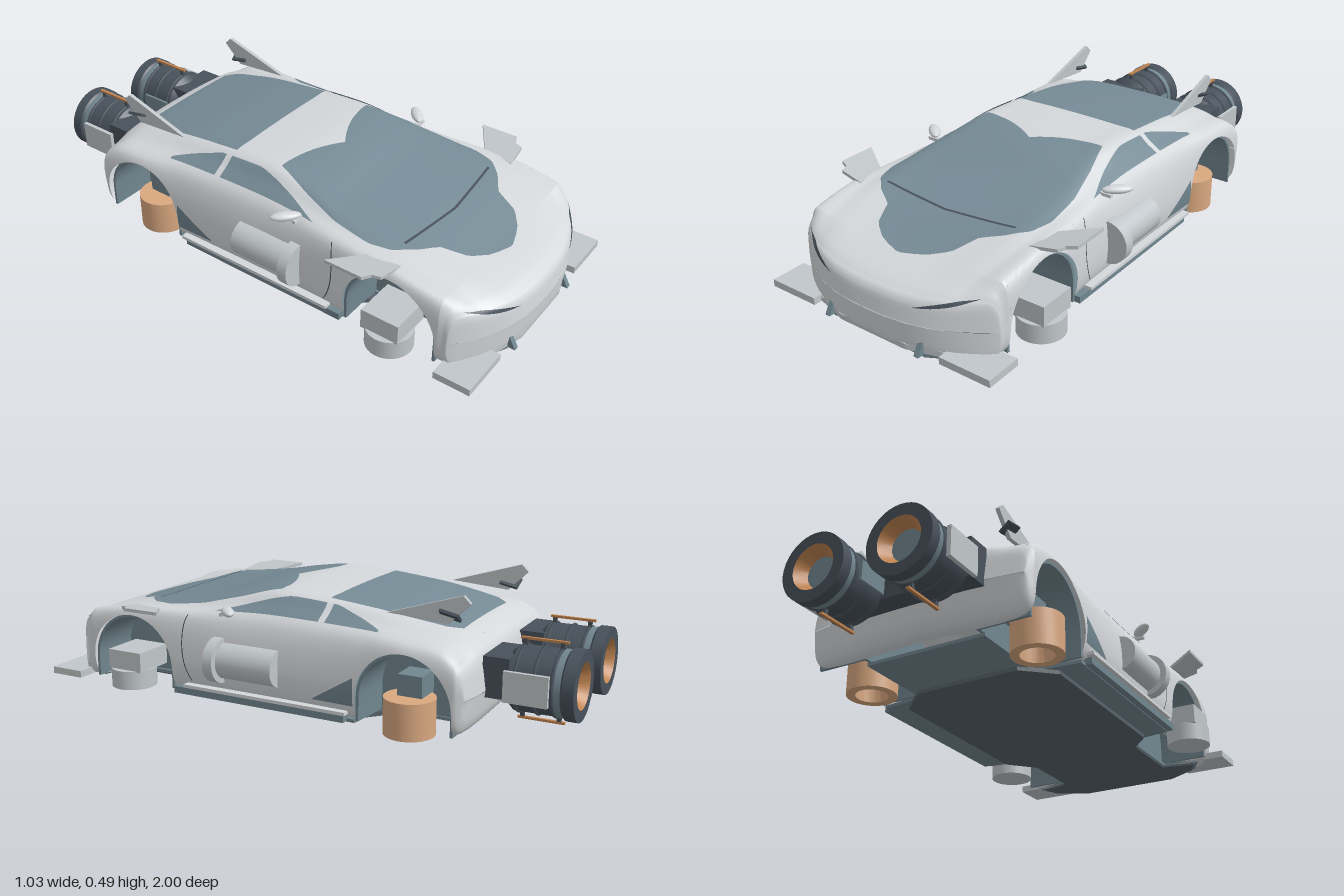
import * as THREE from 'three';
import { toCreasedNormals } from 'three/addons/utils/BufferGeometryUtils.js';

const mat = (name, color, side = THREE.FrontSide) => {
  const m = new THREE.MeshStandardMaterial({ color, side });
  m.name = name;
  return m;
};

// Body stations: z, yBottom, wFlank, wBelt, yBelt, wRoof, yRoof, yTop
const STATIONS = [
  [-0.72, .17, .41, .41, .171, .28, .172, .173],
  [-0.70, .09, .42, .41, .24, .28, .27, .28],
  [-0.665, .05, .43, .42, .27, .28, .31, .325],
  [-0.60, .05, .435, .415, .31, .26, .345, .355],
  [-0.475, .04, .435, .415, .32, .27, .37, .378],
  [-0.30, .04, .425, .395, .325, .275, .395, .405],
  [0.05, .04, .418, .385, .325, .275, .42, .428],
  [0.20, .04, .418, .387, .325, .285, .40, .415],
  [0.35, .04, .42, .395, .325, .31, .37, .38],
  [0.63, .04, .43, .412, .322, .30, .331, .325],
  [0.80, .04, .425, .41, .298, .27, .295, .285],
  [0.90, .035, .42, .40, .27, .25, .268, .262],
  [0.96, .04, .42, .40, .245, .25, .245, .24],
  [0.99, .06, .42, .40, .215, .25, .215, .212],
  [1.00, .145, .41, .40, .146, .25, .147, .148],
];
const ARCHES = [{ z: -0.475, r: 0.175, y: 0.125 }, { z: 0.63, r: 0.18, y: 0.12 }];
const lerp = THREE.MathUtils.lerp;

// Smooth interpolation between stations
function station(z) {
  const S = STATIONS, n = S.length;
  let i = 0;
  while (i < n - 2 && z > S[i + 1][0]) i++;
  const a = S[i], b = S[i + 1], p = S[Math.max(i - 1, 0)], q = S[Math.min(i + 2, n - 1)];
  const h = b[0] - a[0], s = THREE.MathUtils.clamp((z - a[0]) / h, 0, 1);
  return a.map((v, k) => {
    const m0 = (b[k] - p[k]) / (b[0] - p[0]) * h, m1 = (q[k] - v) / (q[0] - a[0]) * h;
    return v + s * m0 + s * s * (3 * (b[k] - v) - 2 * m0 - m1) + s * s * s * (2 * (v - b[k]) + m0 + m1);
  });
}

// Half section: t = 0 floor centre, 2 sill, 3 flank, 4 belt, 6 roof edge, 8 roof centre
const cache = new Map();
function section(z) {
  if (!cache.has(z)) {
    const [, yb, wm, wl, yl, wr, yr, yt] = station(z), wb = wm - .013, h = yl - yb, ym = lerp(yr, yt, .7);
    const pts = [[0, yb], [wb - .03, yb], [wb, yb + h * .1], [wm, yb + h * .48], [wl, yl],
      [lerp(wl, wr, .6), lerp(yl, yr, .62)], [wr, yr], [wr * .65, ym], [0, yt], [-wr * .65, ym]];
    cache.set(z, new THREE.CatmullRomCurve3(pts.map(([x, y]) => new THREE.Vector3(x, y, 0)), false, 'centripetal'));
  }
  return cache.get(z);
}
const flat = (t, z) => section(z).getPoint(t / 9);

// Point on the body, with the nose and tail bowed in plan
function bodyPoint(t, z) {
  const p = flat(t, z), f = 0.85 * Math.min(1, Math.abs(p.x) / 0.43) ** 2.5;
  p.z = z > .82 ? .82 + (z - .82) * (1 - f) : z < -.655 ? -.655 + (z + .655) * (1 - .6 * f) : z;
  return p;
}
function bodyNormal(t, z) {
  const e = 0.002, z0 = Math.max(z - e, -0.72), z1 = Math.min(z + e, 1);
  const dt = bodyPoint(t + .02, z).sub(bodyPoint(Math.max(t - .02, 0), z));
  return dt.cross(bodyPoint(t, z1).sub(bodyPoint(t, z0))).normalize();
}
function bisect(lo, hi, below) {
  for (let i = 0; i < 22; i++) {
    const m = (lo + hi) / 2;
    if (below(m)) lo = m; else hi = m;
  }
  return (lo + hi) / 2;
}
const tAtX = (x, z) => bisect(4, 8, t => flat(t, z).x > x);
const tAtY = (y, z) => bisect(1, 4, t => flat(t, z).y < y);
const along = (pts, z) => {
  let i = 0;
  while (i < pts.length - 2 && z > pts[i + 1][0]) i++;
  const [a, b] = [pts[i], pts[i + 1]];
  return lerp(a[1], b[1], THREE.MathUtils.clamp((z - a[0]) / (b[0] - a[0]), 0, 1));
};

// Grid on the body surface: f(u, v) gives [t, z]; side is 1 or -1
function skin(nu, nv, f, side, offset = 0) {
  const pos = [], nor = [], idx = [];
  for (let j = 0; j <= nv; j++) for (let i = 0; i <= nu; i++) {
    const [t, z] = f(i / nu, j / nv), n = bodyNormal(t, z), p = bodyPoint(t, z).addScaledVector(n, offset);
    pos.push(p.x * side, p.y, p.z);
    nor.push(n.x * side, n.y, n.z);
    if (i < nu && j < nv) {
      const a = j * (nu + 1) + i, b = a + 1, c = a + nu + 1, d = c + 1;
      idx.push(...(side > 0 ? [a, b, c, b, d, c] : [a, c, b, b, c, d]));
    }
  }
  const g = new THREE.BufferGeometry();
  g.setAttribute('position', new THREE.Float32BufferAttribute(pos, 3));
  g.setAttribute('normal', new THREE.Float32BufferAttribute(nor, 3));
  g.setIndex(idx);
  return g;
}

const extrude = (pts, depth) => new THREE.ExtrudeGeometry(
  new THREE.Shape(pts.map(p => new THREE.Vector2(...p))), { depth, bevelEnabled: false });
// Outline in (z, y), thickness centred on x; outline in (x, z), thickness up from y
const sidePlate = (pts, th, x) => extrude(pts, th).rotateY(-Math.PI / 2).translate(x + th / 2, 0, 0);
const planPlate = (pts, th, y) => extrude(pts, th).rotateX(Math.PI / 2).translate(0, y + th, 0);
const bothSides = half => [...half, ...half.slice().reverse().map(([x, z]) => [-x, z])];
const box = (w, h, d, x, y, z) => new THREE.BoxGeometry(w, h, d).translate(x, y, z);
const lathe = pts => toCreasedNormals(new THREE.LatheGeometry(
  pts.map(p => new THREE.Vector2(...p)), 36).rotateX(-Math.PI / 2), 0.5);

export function createModel() {
  const root = new THREE.Group();
  root.name = 'hoverCar';
  const D = THREE.DoubleSide;
  const paint = mat('bodyPaint', 0xd4d7da, D), fitting = mat('paleMetal', 0xc0c6c9), glass = mat('glass', 0x768b96, D);
  const steel = mat('blueSteel', 0x71868f, D), dark = mat('darkMetal', 0x48515b, D), under = mat('underbody', 0x58626a);
  const copper = mat('copper', 0xd9a880, D), orange = mat('burntOrange', 0xc08450, D);
  const add = (name, geo, m, parent = root) => {
    const mesh = new THREE.Mesh(geo, m);
    mesh.name = name;
    parent.add(mesh);
    return mesh;
  };

  const [ra, fa] = ARCHES;
  const archTop = (a, z) => a.y + Math.sqrt(Math.max(0, a.r * a.r - (z - a.z) ** 2));
  const windscreen = [[.07, .26], [.2, .298], [.35, .335], [.5, .35], [.58, .33], [.64, .27], [.68, .2], [.77, .16], [.82, .09], [.845, .01]];
  const rearGlass = [[-.6, .21], [-.56, .245], [-.4, .265], [-.13, .265]];

  for (const s of [1, -1]) {
    // Body shell, cut away over the wheel arches
    const shell = (name, z0, z1, nz, t0) => add(name, skin(44, nz, (u, v) => [lerp(t0, 8, u), lerp(z0, z1, v)], s), paint);
    shell('tailShell', -.72, ra.z - ra.r, 36, 0);
    shell('cabinShell', ra.z + ra.r, fa.z - fa.r, 40, 1);
    shell('noseShell', fa.z + fa.r, 1, 64, 0);
    for (const a of ARCHES) {
      add('fender', skin(30, 32, (u, v) => {
        const z = a.z - a.r * Math.cos(v * Math.PI);
        return [lerp(tAtY(archTop(a, z), z), 8, u), z];
      }, s), paint);
      // Arch liner and inner wall
      const arc = r => {
        const pts = [[a.z + r, .04]];
        for (let i = 0; i <= 24; i++) pts.push([a.z + r * Math.cos(i * Math.PI / 24), a.y + r * Math.sin(i * Math.PI / 24)]);
        return [...pts, [a.z - r, .04]];
      };
      add('archLiner', toCreasedNormals(sidePlate([...arc(a.r), ...arc(a.r - .01).reverse()], .19, s * .315), .5), steel);
      add('archWall', sidePlate(arc(a.r), .01, s * .22), steel);
    }

    // Glass
    add('windscreen', skin(16, 48, (u, v) => {
      const z = lerp(.07, .845, v), zb = z + .085 * (1 - v) * u * u;
      return [tAtX(along(windscreen, z) * (1 - u), zb), zb];
    }, s, .004), glass);
    add('rearWindow', skin(16, 20, (u, v) => {
      const z = lerp(-.6, -.13, v);
      return [tAtX(along(rearGlass, z) * (1 - u), z), z];
    }, s, .004), glass);
    add('sideWindow', skin(8, 20, (u, v) => [4.4 + u * 1.3 * Math.min(1, 1.5 * (1 - v)), lerp(-.13, .29, v)], s, .004), glass);
    add('quarterWindow', skin(8, 12, (u, v) => [4.4 + u * 1.3 * Math.min(1, .1 + v), lerp(-.36, -.155, v)], s, .004), glass);

    // Side intake, headlight slit, door seam and wiper
    add('sideIntake', skin(6, 8, (u, v) => {
      const z = lerp(-.295, -.14, v);
      return [tAtY(lerp(.095, lerp(.195, .1, v), u), z), z];
    }, s, .003), steel);
    add('headlight', skin(16, 2, (u, v) => {
      const x = lerp(.37, .175, u);
      const y = lerp(.258, .206, u ** .8) + (.5 - v) * .012 * Math.sin(Math.PI * u);
      const z = bisect(.78, 1, q => flat(tAtX(x, q), q).y > y);
      return [tAtX(x, z), z];
    }, s, .004), dark);
    add('doorSeam', skin(12, 1, (u, v) => [2.2 + u * 1.8, .4 + v * .004 - .1 * (u - .6) ** 2], s, .002), dark);
    add('wiper', skin(14, 1, (u, v) => {
      const z = .59 + .025 * u + v * .009;
      return [tAtX(.28 * (1 - u), z), z];
    }, s, .008), dark);

    // Sill, side pod and mirror
    add('sill', box(.035, .025, .7, s * .408, .043, .09), steel);
    add('sillLedge', box(.03, .012, .66, s * .422, .066, .06), paint);
    add('sidePod', new THREE.CylinderGeometry(.066, .066, .23, 28).rotateX(Math.PI / 2).translate(s * .405, .18, .115), fitting);
    add('podFlange', new THREE.CylinderGeometry(.082, .082, .04, 28).rotateX(Math.PI / 2).translate(s * .412, .18, .245), fitting);
    const mirror = add('mirror', new THREE.SphereGeometry(1, 20, 12).scale(.055, .015, .022), paint);
    mirror.position.set(s * .413, .36, .205);
    mirror.rotation.y = s * .75;
    add('mirrorStalk', box(.05, .012, .015, s * .385, .345, .235), paint);

    // Canard winglet, tilted upwards to the outside
    const wing = planPlate([[.37, .64], [.47, .63], [.48, .6], [.515, .585], [.515, .44], [.39, .52]].map(([x, z]) => [x * s, z]), .012, .32);
    const p = wing.attributes.position;
    for (let i = 0; i < p.count; i++) p.setY(i, p.getY(i) + (Math.abs(p.getX(i)) - .38) * .15);
    wing.computeVertexNormals();
    add('canard', wing, fitting);

    // Rear fin and its mount
    add('rearFin', sidePlate([[-.36, .40], [-.63, .485], [-.655, .46], [-.58, .385]], .015, s * .291), fitting);
    const mount = add('finMount', box(.05, .01, .07, 0, 0, 0), dark);
    mount.position.set(s * .297, .415, -.585);
    mount.rotation.set(-.2, 0, s * .6);

    // Front splitter end and small fin
    add('splitterEnd', box(.2, .026, .135, s * .375, .053, .91), fitting);
    add('splitterFin', sidePlate([[.9, .04], [.995, .04], [.97, .085], [.94, .085]], .02, s * .195), steel);

    // Front lift thruster
    add('frontThruster', new THREE.CylinderGeometry(.084, .084, .07, 32).translate(s * .41, .066, .635), fitting);
    add('thrusterHousing', box(.16, .075, .145, s * .39, .135, .63), fitting);

    // Rear lift thruster, hollow underneath
    const lift = lathe([[0, -.02], [.05, -.02], [.058, -.13], [.09, -.13], [.09, 0], [0, 0]]);
    add('rearThruster', lift.rotateX(Math.PI / 2).translate(s * .33, .13, -.462), copper);
    add('rearThrusterCore', new THREE.CylinderGeometry(.05, .05, .01, 24).translate(s * .33, .1, -.462), orange);
    add('rearThrusterMount', box(.1, .09, .09, s * .29, .16, -.465), steel);

    // Jet engine
    const jet = new THREE.Group();
    jet.name = 'jetEngine';
    jet.position.set(s * .163, .2, 0);
    root.add(jet);
    add('jetHull', lathe([[0, .75], [.08, .75], [.112, .785], [.112, .93], [.1, .94], [.121, .96], [.121, 1], [.08, 1]]), dark, jet);
    add('jetNozzle', lathe([[.08, 1], [.075, .992], [.054, .955]]), orange, jet);
    add('jetCore', lathe([[.056, .957], [0, .957]]), steel, jet);
    for (const z of [-.8, -.865, -.925]) add('jetBand', new THREE.TorusGeometry(.112, .006, 6, 36).translate(0, 0, z), dark, jet);
    add('jetCollar', new THREE.CylinderGeometry(.114, .114, .025, 36, 1, true).rotateX(Math.PI / 2).translate(0, 0, -.945), steel, jet);
    for (const k of [1, -1]) {
      add('jetRod', box(.012, .008, .16, 0, k * .137, -.865), orange, jet);
      for (const z of [-.8, -.925]) add('rodPost', box(.012, .03, .014, 0, k * .12, z), dark, jet);
    }
    add('jetSidePlate', box(.015, .105, .15, s * .124, 0, -.845), fitting, jet);
    add('jetInnerPlate', box(.01, .07, .12, -s * .117, 0, -.85), steel, jet);
    add('jetArm', box(.19, .14, .09, s * .02, .02, -.74), dark, jet);
  }

  // Engine crossbeam and front splitter
  add('engineBeam', box(.3, .07, .1, 0, .185, -.745), dark);
  add('splitter', planPlate(bothSides([[.47, .86], [.36, .9], [.28, .945], [.14, .985]]), .02, .042), fitting);

  // Underbody: floor, dark nose plate and raised dark panel
  const floor = [[.2, .965], [.33, .9], [.37, .83], [.235, .8], [.235, .46], [.4, .44], [.4, -.29], [.23, -.31], [.23, -.62]];
  add('floorPan', planPlate(bothSides(floor), .012, .028), steel);
  add('floorNose', planPlate(bothSides([[.2, .96], [.32, .895], [.35, .83], [.23, .8], [.23, .5]]), .01, .022), under);
  add('floorPanel', planPlate(bothSides([[.13, .62], [.31, .42], [.31, -.27], [.2, -.37]]), .016, .014), under);
  return root;
}
